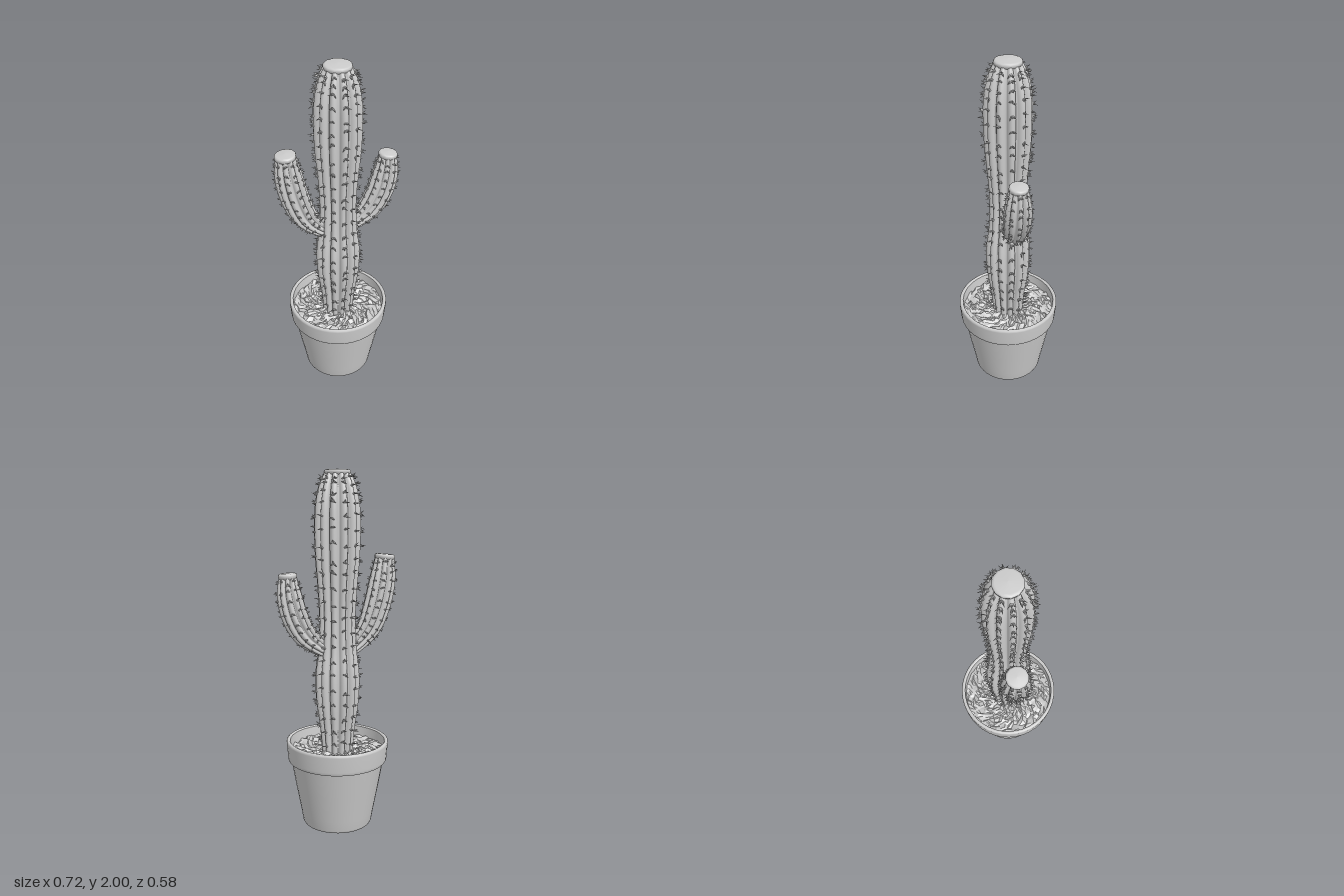
import * as THREE from 'three';
import { mergeGeometries } from 'three/addons/utils/BufferGeometryUtils.js';

// Small seeded random generator
let seed = 7;
function rand() {
  seed = (seed * 16807) % 2147483647;
  return seed / 2147483647;
}
const jitter = (amount) => (rand() - 0.5) * 2 * amount;

// Centre, radius and local axes at t; points hold x, y and radius
function frameAt(curve, t) {
  const p = curve.getPoint(t);
  const a = curve.getPoint(Math.max(0, t - 0.01));
  const b = curve.getPoint(Math.min(1, t + 0.01));
  const along = new THREE.Vector3(b.x - a.x, b.y - a.y, 0).normalize();
  const depth = new THREE.Vector3(0, 0, 1);
  const side = depth.clone().cross(along);
  return { centre: new THREE.Vector3(p.x, p.y, 0), radius: p.z, along, side, depth };
}

const radial = (f, a) =>
  f.side.clone().multiplyScalar(Math.cos(a)).addScaledVector(f.depth, Math.sin(a));

// Ribbed tube swept along the curve
function ribbedGeometry(curve, ribs, rows) {
  const n = ribs * 8;
  const positions = [], index = [];
  for (let i = 0; i <= rows; i++) {
    const f = frameAt(curve, i / rows);
    for (let j = 0; j < n; j++) {
      const a = (j / n) * Math.PI * 2;
      const ridge = Math.abs(Math.cos((a * ribs) / 2));
      const p = radial(f, a).multiplyScalar(f.radius * (0.74 + 0.26 * Math.pow(ridge, 0.8))).add(f.centre);
      positions.push(p.x, p.y, p.z);
      if (i < rows) {
        const k = (j + 1) % n, lo = i * n, hi = lo + n;
        index.push(lo + j, lo + k, hi + j, lo + k, hi + k, hi + j);
      }
    }
  }
  const g = new THREE.BufferGeometry();
  g.setAttribute('position', new THREE.Float32BufferAttribute(positions, 3));
  g.setIndex(index);
  g.computeVertexNormals();
  return g;
}

// Clusters of short thorns along every rib
function spineGeometry(curve, ribs, rows, start, length) {
  const up = new THREE.Vector3(0, 1, 0);
  const parts = [];
  for (let r = 0; r < ribs; r++) {
    const a = (r / ribs) * Math.PI * 2;
    for (let i = 0; i < rows; i++) {
      const t = start + (0.98 - start) * ((i + 0.5 + jitter(0.25)) / rows);
      const f = frameAt(curve, t);
      const out = radial(f, a);
      const across = out.clone().cross(f.along);
      const base = f.centre.clone().addScaledVector(out, f.radius - 0.006);
      for (let k = -1; k <= 1; k++) {
        const dir = out.clone()
          .addScaledVector(across, k * 0.75 + jitter(0.25))
          .addScaledVector(f.along, (k === 0 ? 0.35 : -0.1) + jitter(0.5)).normalize();
        const h = length * (0.8 + 0.4 * rand());
        const cone = new THREE.ConeGeometry(0.0065, h, 4, 1, true).translate(0, h / 2, 0);
        cone.applyQuaternion(new THREE.Quaternion().setFromUnitVectors(up, dir));
        cone.translate(base.x, base.y, base.z);
        parts.push(cone);
      }
    }
  }
  return mergeGeometries(parts);
}

// Rounded, faceted lid closing the tip of a stem
function capGeometry(curve, radius) {
  const profile = [[0, -0.02], [0.8, -0.02], [0.97, -0.012], [1, 0], [0.95, 0.008], [0.8, 0.012], [0, 0.015]]
    .map(([r, y]) => new THREE.Vector2(r * radius, y));
  const g = new THREE.LatheGeometry(profile, 12);
  const f = frameAt(curve, 1);
  g.applyQuaternion(new THREE.Quaternion().setFromUnitVectors(new THREE.Vector3(0, 1, 0), f.along));
  return g.translate(f.centre.x, f.centre.y, f.centre.z);
}

export function createModel() {
  seed = 7;
  const model = new THREE.Group();
  model.name = 'pottedCactus';
  const clay = new THREE.MeshStandardMaterial({ color: 0xcccccc });
  clay.name = 'plainGrey';

  function add(parent, name, geometry) {
    const mesh = new THREE.Mesh(geometry, clay);
    mesh.name = name;
    parent.add(mesh);
    return mesh;
  }

  // Pot: wall, rim and inner lip are lathed separately to keep their edges crisp
  const pot = new THREE.Group();
  pot.name = 'pot';
  model.add(pot);
  const lathe = (points) => new THREE.LatheGeometry(points.map(([r, y]) => new THREE.Vector2(r, y)), 40);
  add(pot, 'potBase', lathe([[0, 0.004], [0.185, 0.004]]));
  add(pot, 'potWall', lathe([[0.185, 0.004], [0.194, 0.008], [0.2, 0.02], [0.21, 0.08], [0.238, 0.23], [0.265, 0.385]]));
  add(pot, 'potRimUnderside', lathe([[0.262, 0.39], [0.278, 0.381]]));
  add(pot, 'potRim', lathe([[0.278, 0.381], [0.282, 0.386], [0.284, 0.4], [0.291, 0.485], [0.29, 0.495],
    [0.284, 0.5], [0.275, 0.5], [0.27, 0.494]]));
  add(pot, 'potInnerWall', lathe([[0.27, 0.494], [0.262, 0.4]]));

  // Soil: lumpy disc with faceted clods
  const soil = new THREE.RingGeometry(0.03, 0.268, 64, 13).rotateX(-Math.PI / 2);
  const pos = soil.attributes.position;
  for (let i = 0; i < pos.count; i++) {
    const column = i % 65;
    if (column === 64) {
      const s = i - 64;
      pos.setXYZ(i, pos.getX(s), pos.getY(s), pos.getZ(s));
    } else {
      const edge = i >= pos.count - 65 ? 0 : 0.007;
      pos.setXYZ(i, pos.getX(i) + jitter(edge), 0.437 + jitter(0.012), pos.getZ(i) + jitter(edge));
    }
  }
  const soilFaceted = soil.toNonIndexed();
  soilFaceted.computeVertexNormals();
  add(model, 'soil', soilFaceted);

  // Stems: path points are [x, y, radius]
  const stems = [
    { name: 'trunk', ribs: 12, rows: 70, spineRows: 21, start: 0.03, cap: 0.074, length: 0.032,
      path: [[0, 0.4, 0.088], [0, 0.56, 0.1], [0, 0.72, 0.121], [0, 0.88, 0.126], [0, 1.04, 0.108], [0, 1.2, 0.102],
        [0, 1.36, 0.11], [0, 1.52, 0.123], [0, 1.68, 0.128], [0, 1.82, 0.122], [0, 1.92, 0.1], [0, 1.985, 0.07]] },
    { name: 'rightArm', ribs: 10, rows: 36, spineRows: 10, start: 0.24, cap: 0.058, length: 0.022,
      path: [[-0.02, 0.99, 0.04], [-0.11, 1.05, 0.05], [-0.185, 1.14, 0.068], [-0.235, 1.27, 0.077],
        [-0.265, 1.41, 0.074], [-0.277, 1.535, 0.054]] },
    { name: 'leftArm', ribs: 10, rows: 36, spineRows: 8, start: 0.24, cap: 0.052, length: 0.022,
      path: [[0.02, 1.0, 0.04], [0.11, 1.05, 0.05], [0.19, 1.12, 0.066], [0.246, 1.225, 0.074],
        [0.275, 1.34, 0.069], [0.284, 1.445, 0.048]] },
  ];
  for (const s of stems) {
    const stem = new THREE.Group();
    stem.name = s.name;
    model.add(stem);
    const curve = new THREE.CatmullRomCurve3(s.path.map((p) => new THREE.Vector3(...p)));
    add(stem, s.name + 'Body', ribbedGeometry(curve, s.ribs, s.rows));
    add(stem, s.name + 'Spines', spineGeometry(curve, s.ribs, s.spineRows, s.start, s.length));
    add(stem, s.name + 'Cap', capGeometry(curve, s.cap));
  }
  // Arms sit slightly behind the trunk axis
  for (const name of ['rightArm', 'leftArm']) model.getObjectByName(name).position.z = -0.008;

  // Rest the pot on the ground
  pot.getObjectByName('potBase').position.y = -0.004;
  pot.getObjectByName('potWall').position.y = -0.004;
  return model;
}
